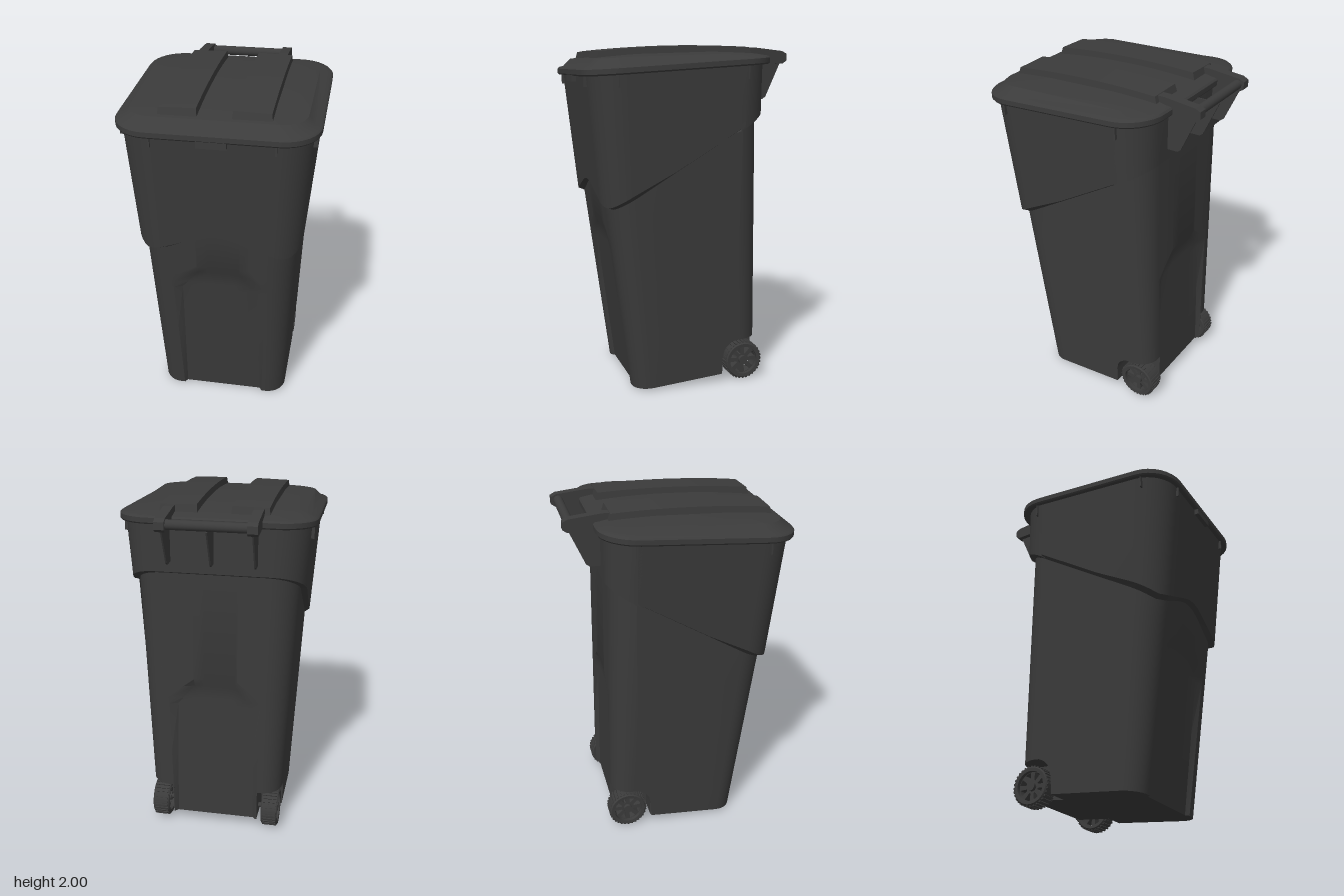
import * as THREE from 'three';
import { toCreasedNormals } from 'three/addons/utils/BufferGeometryUtils.js';

const plastic = new THREE.MeshStandardMaterial({ color: 0x3b3b3b, side: THREE.DoubleSide });
plastic.name = 'charcoal plastic';
const { lerp, clamp } = THREE.MathUtils;

function add(parent, name, geo, x = 0, y = 0, z = 0) {
  const m = new THREE.Mesh(geo, plastic);
  m.name = name;
  m.position.set(x, y, z);
  parent.add(m);
  return m;
}

// skin a stack of cross-sections, each a list of [x, y, z]
function loft(rings, closed = true, crease = 0.5) {
  const n = rings[0].length, idx = [];
  for (let i = 0; i < rings.length - 1; i++)
    for (let j = 0; j < (closed ? n : n - 1); j++) {
      const a = i * n + j, b = i * n + (j + 1) % n;
      idx.push(a, b, b + n, a, b + n, a + n);
    }
  const g = new THREE.BufferGeometry();
  g.setAttribute('position', new THREE.Float32BufferAttribute(rings.flat(2), 3));
  g.setIndex(idx);
  return toCreasedNormals(g, crease);
}

// plate outlined in [z, y], with its thickness along x
function plate(pts, width) {
  const s = new THREE.Shape(pts.map(([z, y]) => new THREE.Vector2(-z, y)));
  return new THREE.ExtrudeGeometry(s, { depth: width, bevelEnabled: false })
    .translate(0, 0, -width / 2).rotateY(Math.PI / 2);
}

// ---- body section rules ----
const section = (y, upper) => ({
  hx: upper ? 0.465 + 0.07 * (y - 1.1) : 0.385 + 0.05 * y,
  zf: upper ? 0.513 + 0.107 * (y - 1.1) : 0.335 + 0.133 * y,
  zb: upper ? -0.43 : -0.434 + 0.0175 * y,
  r: 0.11 + 0.042 * y,
});
// half-widths of the outer and inner outline of the recessed panel
const panelOut = y => y < 0.85 ? lerp(0.25, 0.27, y / 0.85) : lerp(0.27, 0.13, clamp((y - 0.85) / 0.13, 0, 1));
const panelIn = y => y < 0.81 ? lerp(0.235, 0.22, y / 0.81) : lerp(0.22, 0.12, clamp((y - 0.81) / 0.12, 0, 1));
const recess = y => 0.022 * clamp((0.98 - y) / 0.05, 0, 1);

// columns of one half of the body, from front centre to back centre
const columns = [];
const wall = (front, xAt, sunk) => columns.push((y, u) => {
  const s = section(y, u), d = sunk ? recess(y) : 0;
  return [xAt(y, s), y, front ? s.zf - d : s.zb + d];
});
const corner = front => {
  for (let k = 0; k <= 8; k++) {
    const a = (front ? k : 8 - k) / 8 * Math.PI / 2;
    columns.push((y, u) => {
      const s = section(y, u), dz = s.r * (1 - Math.cos(a));
      return [s.hx - s.r + s.r * Math.sin(a), y, front ? s.zf - dz : s.zb + dz];
    });
  }
};
const panelCols = [[() => 0, true], [y => panelIn(y) / 2, true], [panelIn, true], [panelOut, false]];
panelCols.forEach(([f, sunk]) => wall(true, f, sunk));
[0.33, 0.67].forEach(t => wall(true, (y, s) => lerp(panelOut(y), s.hx - s.r, t), false));
corner(true);
[0.12, 0, -0.1, -0.195, -0.2, -0.21, -0.225, -0.25, -0.28].forEach(z =>
  columns.push((y, u) => [section(y, u).hx, y, z]));
corner(false);
wall(false, y => panelOut(y) + 0.008, false);
wall(false, y => panelOut(y) + 0.004, false);
[...panelCols].reverse().forEach(([f, sunk]) => wall(false, f, sunk));

// heights of the base, wheel arch, collar step and rim
const baseY = z => 0.005 + 0.085 * (0.335 - z);
const archY = z => z < -0.3 ? 0.26 : 0.15 + 0.11 * Math.sqrt(Math.max(0, 1 - ((z + 0.3) / 0.1) ** 2));
const inWell = (x, z) => Math.abs(x) > 0.256 && z < -0.197;
const bottomY = (x, z) => inWell(x, z) ? archY(z) : baseY(z);
const stepY = (x, z) => 1.09 + 0.606 * Math.max(0, 0.455 - z)
  + (z > 0.3 ? 0.06 * (1 + Math.cos(Math.PI * Math.min(1, Math.abs(x) / 0.4))) : 0);
const rimY = z => 1.825 + 0.064 * (0.625 - z);
const settle = (c, rule, y, upper) => {
  for (let k = 0; k < 4; k++) { const p = c(y, upper); y = rule(p[0], p[2]); }
  return y;
};

function buildBody(g) {
  const half = columns.map(c => {
    const s = settle(c, stepY, 1.2, false);
    const top = settle(c, (x, z) => rimY(z) + 0.02, 1.85, true);
    return [c(settle(c, bottomY, 0.1, false), false),
      ...[0.27, 0.5, 0.81, 0.85, 0.93, 0.98].map(y => c(y, false)),
      c(s, false), c(s + 0.012, true), c(lerp(s, top, 0.5), true), c(top, true)];
  });
  const mirrored = half.slice(1, -1).reverse().map(col => col.map(([x, y, z]) => [-x, y, z]));
  const all = [...half, ...mirrored];
  add(g, 'body', loft(all[0].map((_, i) => all.map(col => col[i]))));

  // base plate, notched for the wheels
  const outline = [];
  for (const col of all) {
    let [x, , z] = col[0];
    if (inWell(x, z)) { x = Math.sign(x) * 0.256; z = -0.2; }
    const last = outline[outline.length - 1];
    if (!last || last.x !== x || last.y !== z) outline.push(new THREE.Vector2(x, z));
  }
  const base = new THREE.ShapeGeometry(new THREE.Shape(outline)).rotateX(Math.PI / 2);
  const p = base.attributes.position;
  for (let i = 0; i < p.count; i++) p.setY(i, baseY(p.getZ(i)));
  base.computeVertexNormals();
  add(g, 'base', base);

  // wheel wells
  const prof = [[-0.2, 0.05], ...[-0.2, -0.203, -0.21, -0.225, -0.25, -0.28, -0.31, -0.34, -0.37, -0.4, -0.42, -0.429]
    .map(z => [z, archY(z)])];
  for (const side of [1, -1]) {
    const outer = prof.map(([z, y]) => {
      const s = section(y, false), d = Math.max(0, s.zb + s.r - z);
      return [side * (s.hx - s.r + Math.sqrt(Math.max(0, s.r * s.r - d * d))), y, z];
    });
    const inner = prof.map(([z, y]) => [side * 0.256, y, z]);
    add(g, 'wheelWellArch', loft(side > 0 ? [outer, inner] : [inner, outer], false));
    add(g, 'wheelWellWall', plate([...prof, [-0.429, 0.07]], 0.004), side * 0.256);
  }
}

// ---- lid ----
const roofY = (x, z) => 1.965 - 0.09 * (z + 0.1) ** 2 - 0.06 * x * x;

function lidRing(inset, scale, height) {
  const hx = 0.548 - inset, zf = 0.622 - inset, zb = -0.468 + inset, r = 0.2 - inset * 0.8, pts = [];
  const zc = (zf + zb) / 2, hz = (zf - zb) / 2;
  for (let q = 0; q < 4; q++)
    for (let k = 0; k <= 8; k++) {
      const a = Math.PI / 2 - (q + k / 8) * Math.PI / 2;
      const sx = q < 2 ? 1 : -1, sz = q === 0 || q === 3 ? 1 : -1;
      const x = (sx * (hx - r) + r * Math.cos(a)) * scale;
      const z = zc + (sz * (hz - r) + r * Math.sin(a)) * scale;
      pts.push([x, height === null ? roofY(x, z) : rimY(z) + height, z]);
    }
  return pts;
}

function buildLid(g) {
  add(g, 'lid', loft([
    lidRing(0.05, 1, 0.005), lidRing(0.006, 1, 0), lidRing(0, 1, 0.008), lidRing(0, 1, 0.035),
    lidRing(0.01, 1, 0.045), lidRing(0.035, 1, 0.05), lidRing(0.075, 1, null),
    ...[0.85, 0.65, 0.45, 0.25, 0].map(s => lidRing(0.075, s, null)),
  ], true, 0.6));

  // two raised ribs following the crown of the lid
  for (const side of [1, -1]) {
    const geo = new THREE.BoxGeometry(0.212, 0.05, 0.92, 1, 1, 14);
    const p = geo.attributes.position;
    for (let i = 0; i < p.count; i++) {
      const top = p.getY(i) > 0;
      const x = side * 0.196 + p.getX(i) * (top ? 0.94 : 1);
      const z = 0.066 + p.getZ(i) * (top ? 0.965 : 1);
      p.setXYZ(i, x, roofY(x, z) + (top ? 0.034 : -0.02), z);
    }
    add(g, 'lidRib', toCreasedNormals(geo, 0.5));
  }
  add(g, 'latchTab', new THREE.BoxGeometry(0.16, 0.045, 0.025), 0, 1.815, 0.607);
}

// ---- handle and its brackets ----
function buildHandle(g) {
  const arm = [[-0.37, 1.985], [-0.42, 1.985], [-0.6, 1.965], [-0.628, 1.95], [-0.63, 1.91],
    [-0.605, 1.892], [-0.44, 1.9], [-0.37, 1.92]];
  for (const side of [1, -1]) add(g, 'handleArm', plate(arm, 0.055), side * 0.242);
  add(g, 'handleBar', new THREE.CylinderGeometry(0.027, 0.027, 0.44, 20).rotateZ(Math.PI / 2), 0, 1.93, -0.588);
  const bracket = [[-0.42, 1.9], [-0.42, 1.685], [-0.49, 1.685], [-0.51, 1.7], [-0.6, 1.9]];
  for (const x of [-0.24, 0, 0.24]) add(g, 'handleBracket', plate(bracket, 0.008), x);
}

// ---- small ribs under the rim ----
function buildRimRibs(g) {
  for (const side of [1, -1]) {
    for (const z of [0.45, -0.28])
      add(g, 'rimRib', plate([[z, 1.87], [z - 0.008, 1.87], [z - 0.008, 1.79], [z, 1.79]]
        .map(([a, y]) => [a, y + (z < 0 ? 0.02 : -0.02)]), 0.03), side * 0.513);
    add(g, 'rimRib', new THREE.BoxGeometry(0.008, 0.07, 0.03), side * 0.33, 1.805, 0.588);
  }
}

// ---- wheels ----
function buildWheel() {
  const w = new THREE.Group();
  w.name = 'wheel';
  const tyre = [[0.085, -0.048], [0.104, -0.05], [0.11, -0.044], [0.11, 0.044], [0.104, 0.05], [0.085, 0.048], [0.085, -0.048]];
  add(w, 'tyre', toCreasedNormals(new THREE.LatheGeometry(tyre.map(([r, h]) => new THREE.Vector2(r, h)), 40), 0.5)
    .rotateZ(-Math.PI / 2));
  for (let i = 0; i < 32; i++)
    add(w, 'tread', new THREE.BoxGeometry(0.084, 0.012, 0.01).translate(0, 0.1105, 0)).rotation.x = i / 32 * Math.PI * 2;
  // spoked disc
  const disc = new THREE.Shape().absarc(0, 0, 0.088, 0, Math.PI * 2);
  for (let i = 0; i < 8; i++) {
    const a = i / 8 * Math.PI * 2, hole = new THREE.Path();
    hole.absarc(0, 0, 0.082, a + 0.17, a + 0.62, false);
    hole.absarc(0, 0, 0.038, a + 0.5, a + 0.29, true);
    hole.closePath();
    disc.holes.push(hole);
  }
  add(w, 'spokes', new THREE.ExtrudeGeometry(disc, { depth: 0.05, bevelEnabled: false, curveSegments: 12 })
    .translate(0, 0, -0.025).rotateY(Math.PI / 2));
  add(w, 'hub', new THREE.CylinderGeometry(0.026, 0.026, 0.09, 20).rotateZ(Math.PI / 2));
  return w;
}

export function createModel() {
  const g = new THREE.Group();
  g.name = 'wheeledBin';
  buildBody(g);
  buildLid(g);
  buildHandle(g);
  buildRimRibs(g);
  for (const side of [1, -1]) {
    const w = buildWheel();
    w.position.set(side * 0.335, 0.118, -0.34);
    g.add(w);
  }
  add(g, 'axle', new THREE.CylinderGeometry(0.015, 0.015, 0.66, 12).rotateZ(Math.PI / 2), 0, 0.118, -0.34);
  return g;
}
